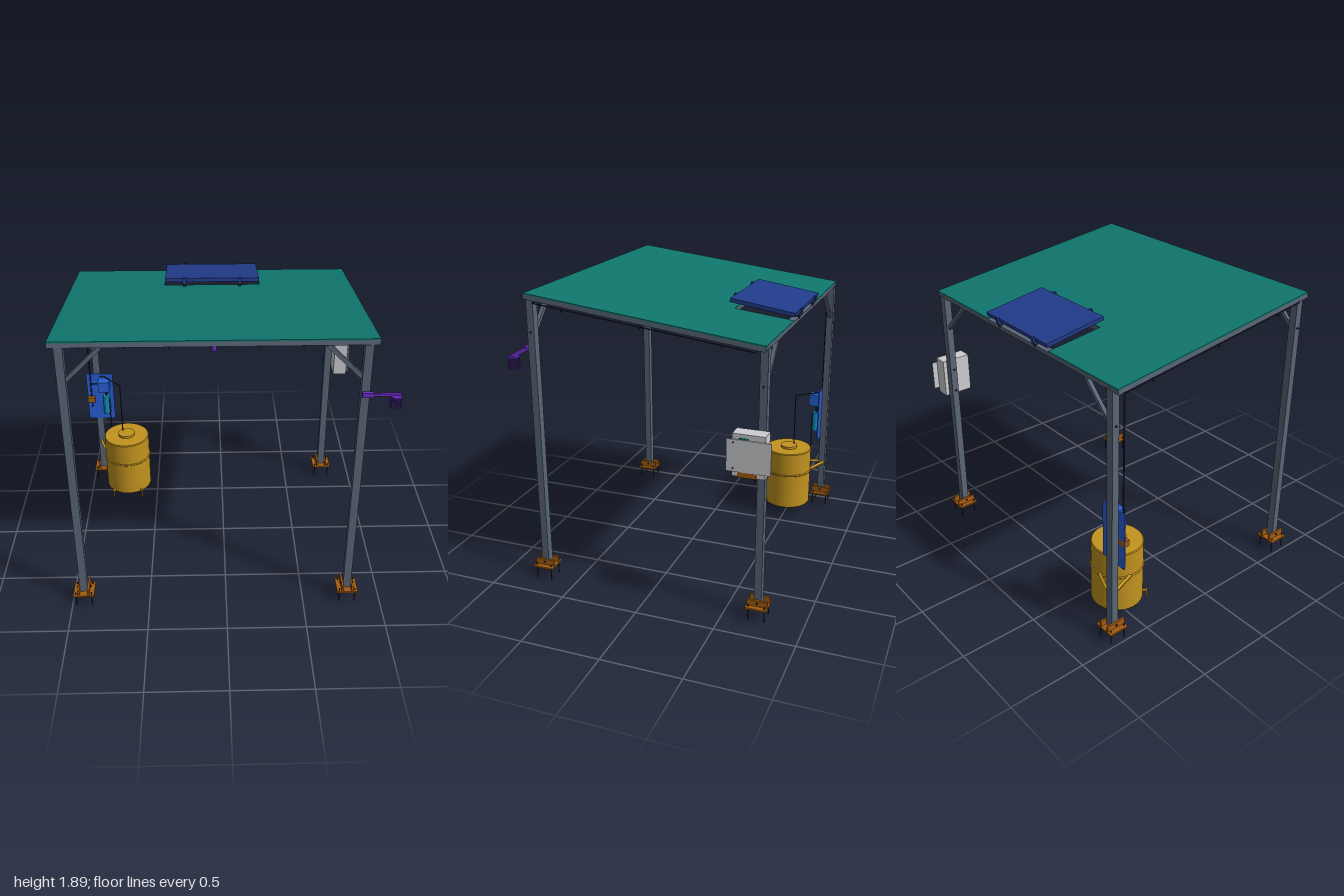
import * as THREE from 'three';

const mat = (name, color) => Object.assign(new THREE.MeshStandardMaterial({ color }), { name });
const M = {
  steel: mat('steel', 0x5a6678), teal: mat('roof teal', 0x0f766e), navy: mat('solar navy', 0x213b8a),
  blue: mat('board blue', 0x2860d8), cyan: mat('filter cyan', 0x1195cc), gold: mat('tank gold', 0xc2931f),
  orange: mat('base orange', 0xa65d10), purple: mat('lamp purple', 0x6d2bc4), grey: mat('cabinet grey', 0xcdced2),
  dark: mat('dark fittings', 0x20242c),
};

// Axis-aligned box given as ranges
function box(parent, name, material, [x0, x1], [y0, y1], [z0, z1]) {
  const m = new THREE.Mesh(new THREE.BoxGeometry(x1 - x0, y1 - y0, z1 - z0), material);
  m.position.set((x0 + x1) / 2, (y0 + y1) / 2, (z0 + z1) / 2);
  m.name = name;
  parent.add(m);
  return m;
}

// Round rod (or square bar) between two points
function rod(parent, name, material, a, b, r, square = false) {
  const p = new THREE.Vector3(...a), q = new THREE.Vector3(...b), len = p.distanceTo(q);
  const g = square ? new THREE.BoxGeometry(r * 2, len, r * 2) : new THREE.CylinderGeometry(r, r, len, 10);
  const m = new THREE.Mesh(g, material);
  m.position.copy(p).lerp(q, 0.5);
  m.quaternion.setFromUnitVectors(new THREE.Vector3(0, 1, 0), q.sub(p).normalize());
  m.name = name;
  parent.add(m);
  return m;
}

// Chain of rods through points
function pipe(parent, name, material, pts, r) {
  for (let i = 1; i < pts.length; i++) rod(parent, name, material, pts[i - 1], pts[i], r);
}

function ring(parent, name, material, [x, y, z], radius, tube) {
  const m = new THREE.Mesh(new THREE.TorusGeometry(radius, tube, 6, 40).rotateX(Math.PI / 2), material);
  m.position.set(x, y, z);
  m.name = name;
  parent.add(m);
}

const LEFT = 0.785, RIGHT = -0.922, FRONT = 0.717, BACK = -0.713;

// Post with base plate, gussets and anchors
function post(x, z, top) {
  const g = new THREE.Group();
  g.name = 'post';
  g.position.set(x, 0, z);
  box(g, 'column', M.steel, [-0.025, 0.025], [0.09, top], [-0.023, 0.023]);
  box(g, 'basePlate', M.orange, [-0.067, 0.067], [0.08, 0.092], [-0.066, 0.066]);
  for (const s of [-1, 1]) {
    const x0 = s * 0.031;
    box(g, 'gusset', M.orange, [x0 - 0.006, x0 + 0.006], [0.092, 0.132], [-0.064, 0.064]);
    for (const t of [-1, 1]) rod(g, 'anchorBolt', M.dark, [s * 0.05, 0, t * 0.05], [s * 0.05, 0.105, t * 0.05], 0.004);
  }
  rod(g, 'baseBolt', M.dark, [-0.045, 0.115, 0], [0.045, 0.115, 0], 0.006);
  return g;
}

// Sloped roof, local y = 0 is its top face
function roof() {
  const g = new THREE.Group();
  g.name = 'roof';
  g.position.y = 1.797;
  g.rotation.x = -0.12;
  const sheet = [-0.008, 0], fr = [-0.036, -0.008], X = [-0.985, 0.845], Z = [-0.737, 0.737];
  box(g, 'roofSheet', M.teal, X, sheet, [-0.365, Z[1]]);
  box(g, 'roofSheet', M.teal, [X[0], -0.38], sheet, [Z[0], -0.365]);
  box(g, 'roofSheet', M.teal, [0.245, X[1]], sheet, [Z[0], -0.365]);
  box(g, 'frontBeam', M.steel, X, fr, [Z[1] - 0.04, Z[1]]);
  box(g, 'backBeam', M.steel, X, fr, [Z[0], Z[0] + 0.04]);
  box(g, 'crossBeam', M.steel, [-0.38, 0.245], fr, [-0.365, -0.335]);
  for (const x of [-0.965, 0.825]) box(g, 'sideBeam', M.steel, [x - 0.02, x + 0.02], fr, [-0.7, 0.7]);
  for (const x of [-0.393, 0.255]) box(g, 'rafter', M.steel, [x - 0.013, x + 0.013], fr, [-0.7, 0.7]);
  // Cable loop under the frame with hangers
  const y = -0.052, a = -0.97, b = 0.835, c = 0.68;
  pipe(g, 'roofCable', M.dark, [[a, y, c], [b, y, c], [b, y, -c], [a, y, -c], [a, y, c]], 0.004);
  for (const z of [0.49, 0, -0.49]) for (const x of [a, b]) rod(g, 'cableHanger', M.dark, [x, y - 0.015, z], [x, -0.03, z], 0.005);
  for (let i = 0; i < 7; i++) for (const z of [-c, c]) {
    const x = -0.82 + i * 0.25;
    rod(g, 'cableHanger', M.dark, [x, y - 0.012, z], [x, -0.03, z], 0.004);
  }
  return g;
}

// Tilted solar panel on two rails
function solarPanel() {
  const g = new THREE.Group();
  g.name = 'solarPanel';
  g.position.set(-0.067, 1.767, -0.532);
  g.rotation.x = -0.15;
  box(g, 'panel', M.navy, [-0.307, 0.307], [-0.01, 0.014], [-0.206, 0.206]);
  for (const x of [-0.18, 0.18]) {
    box(g, 'rail', M.navy, [x - 0.012, x + 0.012], [-0.024, -0.01], [-0.216, 0.216]);
    for (const z of [-0.2, 0.19]) box(g, 'panelFoot', M.dark, [x - 0.01, x + 0.01], [-0.045, -0.024], [z - 0.01, z + 0.01]);
    for (const z of [-0.211, 0.211]) box(g, 'clamp', M.navy, [x - 0.012, x + 0.012], [-0.015, 0.018], [z - 0.008, z + 0.008]);
  }
  return g;
}

// Water tank with lid, band, arms and taps
function tank() {
  const g = new THREE.Group();
  g.name = 'tank';
  g.position.set(-0.711, 0, -0.5);
  const profile = [[0, 0.082], [0.16, 0.082], [0.163, 0.087], [0.163, 0.5], [0.158, 0.506], [0.06, 0.506], [0.06, 0.523], [0, 0.523]];
  const pts = profile.flatMap(([r, y]) => Array(r ? 2 : 1).fill(0).map(() => new THREE.Vector2(r, y)));
  const body = new THREE.Mesh(new THREE.LatheGeometry(pts, 48), M.gold);
  body.name = 'tankBody';
  g.add(body);
  ring(g, 'tankBand', M.gold, [0, 0.337, 0], 0.163, 0.007);
  rod(g, 'tankArm', M.gold, [-0.16, 0.337, -0.03], [-0.225, 0.337, -0.225], 0.009, true);
  rod(g, 'tankArm', M.gold, [-0.03, 0.337, -0.16], [-0.2, 0.337, -0.23], 0.009, true);
  for (const x of [-0.108, 0.105]) {
    rod(g, 'tapPipe', M.gold, [x * 0.8, 0.1, 0.1], [x, 0.1, 0.158], 0.008);
    rod(g, 'tapSpout', M.gold, [x, 0.05, 0.152], [x, 0.11, 0.152], 0.006);
  }
  return g;
}

// Pump board on the back right post
function pumpBoard() {
  const g = new THREE.Group();
  g.name = 'pumpBoard';
  box(g, 'board', M.blue, [-1, -0.806], [0.54, 0.92], [-0.69, -0.682]);
  box(g, 'controller', M.blue, [-0.91, -0.828], [0.802, 0.886], [-0.682, -0.61]);
  rod(g, 'filter', M.cyan, [-0.858, 0.605, -0.662], [-0.858, 0.75, -0.662], 0.027);
  rod(g, 'filterNeck', M.dark, [-0.858, 0.75, -0.662], [-0.858, 0.802, -0.662], 0.007);
  box(g, 'valve', M.orange, [-0.998, -0.945], [0.695, 0.735], [-0.69, -0.65]);
  pipe(g, 'inletPipe', M.dark, [[-0.97, 1.66, -0.675], [-0.97, 0.65, -0.675]], 0.005);
  pipe(g, 'elbowPipe', M.dark, [[-0.97, 0.84, -0.675], [-0.91, 0.84, -0.675]], 0.005);
  pipe(g, 'tankPipe', M.dark, [[-0.74, 0.51, -0.53], [-0.74, 0.9, -0.53], [-0.87, 0.9, -0.68], [-0.9, 0.9, -0.68]], 0.004);
  pipe(g, 'drainPipe', M.dark, [[-0.835, 0.74, -0.637], [-0.835, 0.35, -0.637]], 0.004);
  return g;
}

// Electrical cabinet on the back left post
function cabinet() {
  const g = new THREE.Group();
  g.name = 'cabinet';
  box(g, 'cabinetBody', M.grey, [0.812, 0.903], [0.96, 1.215], [-0.76, -0.567]);
  box(g, 'cabinetDoor', M.grey, [0.904, 0.911], [0.99, 1.182], [-0.795, -0.535]);
  box(g, 'terminalStrip', M.orange, [0.86, 0.907], [0.957, 0.988], [-0.712, -0.602]);
  box(g, 'indicator', M.teal, [0.9, 0.907], [1.182, 1.192], [-0.66, -0.605]);
  for (const y of [1.01, 1.165]) {
    rod(g, 'mountBolt', M.dark, [0.748, y, BACK], [0.812, y, BACK], 0.006);
    rod(g, 'doorBolt', M.dark, [0.9, y, -0.575], [0.916, y, -0.575], 0.005);
  }
  pipe(g, 'cabinetCable', M.dark, [[0.8, 0.937, -0.7], [0.893, 0.937, -0.7], [0.893, 0.96, -0.7]], 0.004);
  return g;
}

// Caged lamp on an arm from the front left post
function cagedLamp() {
  const g = new THREE.Group();
  g.name = 'cagedLamp';
  box(g, 'lampArm', M.purple, [0.765, 0.99], [1.535, 1.55], [0.741, 0.757]);
  box(g, 'lampBracket', M.purple, [0.765, 0.83], [1.53, 1.558], [0.738, 0.762]);
  rod(g, 'lampCap', M.purple, [0.96, 1.529, 0.75], [0.96, 1.536, 0.75], 0.035);
  for (let i = 0; i < 5; i++) ring(g, 'cageRing', M.purple, [0.96, 1.465 + i * 0.016, 0.75], 0.034, 0.002);
  for (let i = 0; i < 10; i++) {
    const t = i * Math.PI / 5, x = 0.96 + 0.034 * Math.cos(t), z = 0.75 + 0.034 * Math.sin(t);
    rod(g, 'cageBar', M.purple, [x, 1.463, z], [x, 1.532, z], 0.002);
  }
  return g;
}

export function createModel() {
  const model = new THREE.Group();
  model.name = 'solarCanopy';
  for (const x of [RIGHT, LEFT]) for (const z of [FRONT, BACK]) {
    const top = z > 0 ? 1.85 : 1.685;
    model.add(post(x, z, top));
    // Diagonal knee brace with end bolts
    const s = x < 0 ? 1 : -1, hi = z > 0 ? 1.845 : 1.67;
    rod(model, 'kneeBrace', M.steel, [x + s * 0.225, hi, z], [x + s * 0.025, hi - 0.2, z], 0.012, true);
    rod(model, 'braceBolt', M.dark, [x - 0.033, hi - 0.2, z], [x + 0.033, hi - 0.2, z], 0.006);
  }
  model.add(roof(), solarPanel(), tank(), pumpBoard(), cabinet(), cagedLamp());
  // Small fittings under the front beam
  rod(model, 'sensor', M.purple, [-0.07, 1.82, 0.72], [-0.07, 1.858, 0.72], 0.015);
  box(model, 'junction', M.orange, [0.015, 0.03], [1.835, 1.86], [0.7, 0.715]);
  return model;
}
